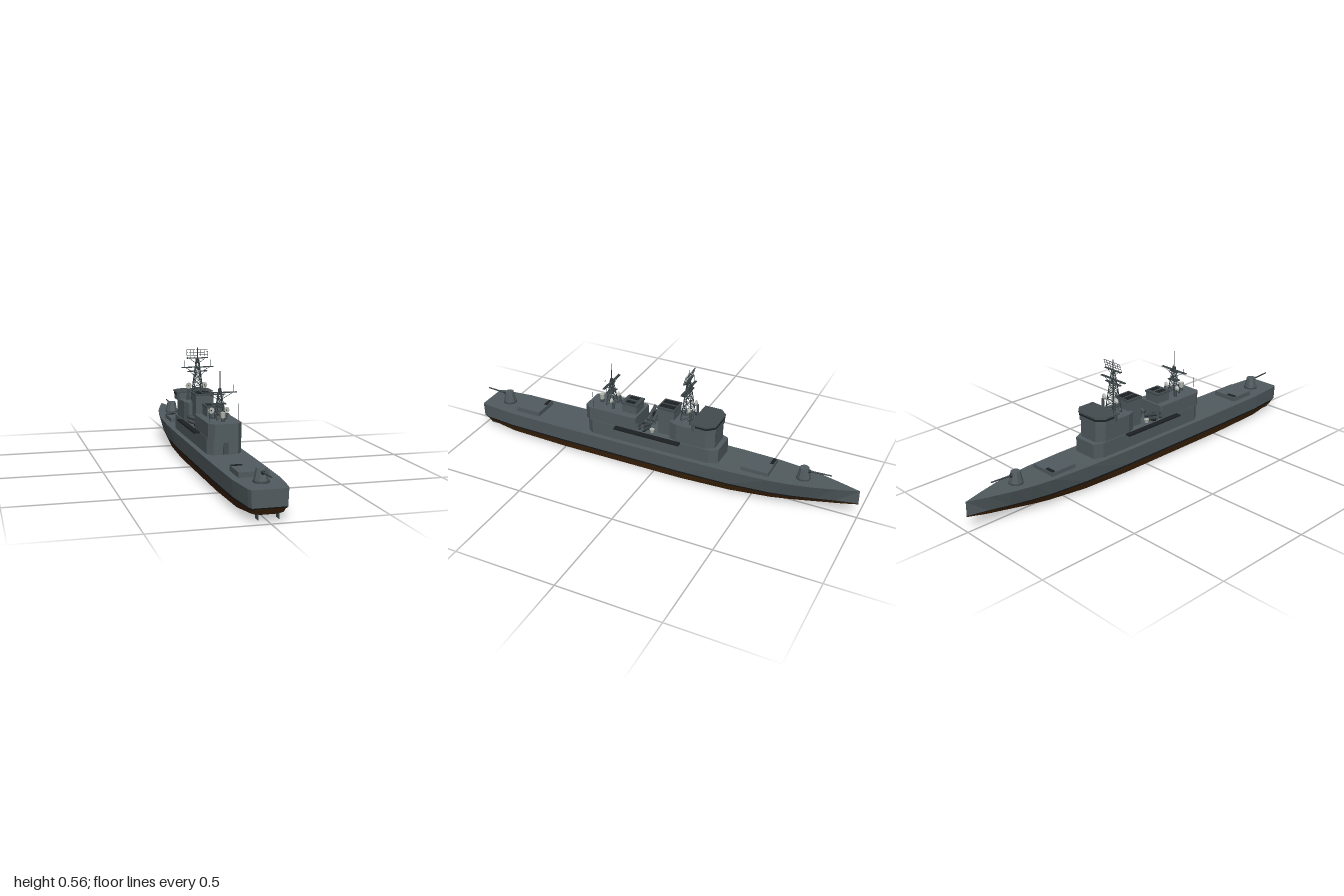
import * as THREE from 'three';

const M = (name, color) => Object.assign(new THREE.MeshStandardMaterial({ color }), { name });

export function createModel() {
  const ship = new THREE.Group();
  ship.name = 'warship';
  const grey = M('hull grey', 0x515b5f), dark = M('near black', 0x1d2123), brown = M('bottom brown', 0x422608);
  const mast = M('mast grey', 0x3a4346), pale = M('pale dish', 0xb4b8b0), trim = M('panel grey', 0x434c50);
  brown.side = THREE.DoubleSide;

  const add = (name, geo, mat, x = 0, y = 0, z = 0, parent = ship) => {
    const m = new THREE.Mesh(geo, mat);
    m.name = name;
    m.position.set(x, y, z);
    parent.add(m);
    return m;
  };
  // box given by its limits along each axis
  const box = (name, mat, x0, x1, y0, y1, z0, z1, parent) => add(name,
    new THREE.BoxGeometry(x1 - x0, y1 - y0, z1 - z0), mat, (x0 + x1) / 2, (y0 + y1) / 2, (z0 + z1) / 2, parent);
  // upright block from a half outline [x, z], mirrored across the centreline
  const prism = (name, mat, half, y0, y1) => {
    const pts = [...half, ...half.map(([x, z]) => [-x, z]).reverse()];
    const shape = new THREE.Shape(pts.map(([x, z]) => new THREE.Vector2(x, -z)));
    const g = new THREE.ExtrudeGeometry(shape, { depth: y1 - y0, bevelEnabled: false });
    return add(name, g.rotateX(-Math.PI / 2), mat, 0, y0, 0);
  };
  const strut = (name, mat, a, b, r, parent = ship, r2 = r, sides = 5) => {
    const p = new THREE.Vector3(...a), q = new THREE.Vector3(...b), d = q.clone().sub(p);
    const m = add(name, new THREE.CylinderGeometry(r2, r, d.length(), sides), mat, 0, 0, 0, parent);
    m.position.copy(p).add(q).multiplyScalar(0.5);
    m.quaternion.setFromUnitVectors(new THREE.Vector3(0, 1, 0), d.normalize());
    return m;
  };

  // Hull sections: z, then (half width, y) for deck, waterline, bilge and keel edge
  const sections = [
    [-1, 0.001, 0.147, 0.001, 0.08, 0.001, 0.076, 0.0005, 0.075],
    [-0.9, 0.032, 0.145, 0.016, 0.074, 0.008, 0.056, 0.003, 0.052],
    [-0.8, 0.06, 0.143, 0.036, 0.068, 0.02, 0.042, 0.007, 0.035],
    [-0.7, 0.08, 0.141, 0.056, 0.064, 0.036, 0.031, 0.013, 0.022],
    [-0.6, 0.093, 0.14, 0.073, 0.062, 0.052, 0.023, 0.02, 0.013],
    [-0.4, 0.103, 0.138, 0.093, 0.062, 0.073, 0.015, 0.033, 0.004],
    [-0.15, 0.105, 0.136, 0.1, 0.062, 0.083, 0.012, 0.04, 0],
    [0.5, 0.105, 0.135, 0.1, 0.062, 0.083, 0.012, 0.04, 0],
    [0.8, 0.101, 0.135, 0.096, 0.062, 0.079, 0.018, 0.04, 0.01],
    [0.96, 0.085, 0.135, 0.081, 0.062, 0.065, 0.034, 0.04, 0.028],
    [0.985, 0.077, 0.135, 0.074, 0.062, 0.056, 0.037, 0.035, 0.033],
  ];
  const rows = sections.map(([z, dx, dy, wx, wy, bx, by, kx, ky], i) => {
    const bootX = wx + (bx - wx) * 0.22, bootY = wy + (by - wy) * 0.22;
    return [[0, dy], [dx, dy], [wx, wy], [bootX, bootY], [bx, by], [kx, ky], [0, ky]]
      .map(([x, y]) => [x, y, i === sections.length - 1 && y < 0.06 ? z - 0.6 * (0.062 - y) : z]);
  });
  const flip = ([x, y, z]) => [-x, y, z];
  const strip = (name, mat, js) => {
    const v = [];
    const quad = (a, b, c, d) => v.push(...a, ...b, ...c, ...a, ...c, ...d);
    for (const j of js) {
      for (let i = 0; i < rows.length - 1; i++) {
        const a = rows[i][j], b = rows[i][j + 1], c = rows[i + 1][j + 1], d = rows[i + 1][j];
        quad(a, d, c, b);
        quad(flip(a), flip(b), flip(c), flip(d));
      }
      const p = rows[rows.length - 1][j], q = rows[rows.length - 1][j + 1];
      quad(flip(p), flip(q), q, p); // transom
    }
    const g = new THREE.BufferGeometry();
    g.setAttribute('position', new THREE.Float32BufferAttribute(v, 3));
    g.computeVertexNormals();
    add(name, g, mat);
  };
  strip('upperHull', grey, [0, 1]);
  strip('bootTopping', dark, [2]);
  strip('hullBottom', brown, [3, 4, 5]);
  for (const s of [-1, 1]) box('rudder', trim, s * 0.043 - 0.002, s * 0.043 + 0.002, 0.009, 0.04, 0.935, 0.968);

  // Deckhouses
  prism('lowerDeckhouse', grey, [[0.058, 0.362], [0.08, 0.33], [0.08, -0.29], [0.06, -0.333]], 0.13, 0.21);
  prism('aftDeckhouse', grey, [[0.055, 0.375], [0.077, 0.345], [0.077, 0.1], [0.07, 0.095]], 0.205, 0.277);
  box('aftDoor', trim, -0.012, 0.012, 0.137, 0.19, 0.36, 0.365);
  box('aftHouse', grey, -0.04, 0.04, 0.277, 0.32, 0.105, 0.185);
  box('aftHouseRoof', trim, -0.043, 0.043, 0.318, 0.327, 0.102, 0.188);
  prism('bridgeTower', grey, [[0.06, -0.08], [0.075, -0.12], [0.075, -0.27], [0.05, -0.31]], 0.21, 0.3);
  prism('bridge', grey, [[0.08, -0.2], [0.088, -0.22], [0.088, -0.28], [0.055, -0.315]], 0.295, 0.333);
  prism('bridgeRoof', trim, [[0.093, -0.197], [0.093, -0.283], [0.057, -0.319]], 0.332, 0.337);
  prism('bridgeWindows', dark, [[0.0885, -0.225], [0.0885, -0.2802], [0.0553, -0.3157]], 0.318, 0.327);
  box('funnel', grey, -0.043, 0.043, 0.21, 0.345, -0.095, -0.01);
  box('funnelCap', trim, -0.046, 0.046, 0.344, 0.353, -0.098, -0.007);
  for (const x of [-0.02, 0.02]) {
    box('funnelVent', dark, x - 0.014, x + 0.014, 0.352, 0.355, -0.09, -0.015);
    box('aftVent', dark, x - 0.012, x + 0.012, 0.326, 0.329, 0.12, 0.17);
  }
  for (const s of [-1, 1]) {
    const [a, b] = s > 0 ? [0.078, 0.105] : [-0.105, -0.078];
    box('sideWalkway', dark, a, b, 0.204, 0.211, -0.145, 0.2);
    // Angled launch tubes amidships
    for (const z of [0.045, 0.072]) for (const y of [0.242, 0.262]) {
      strut('launchTube', trim, [s * 0.015, y - 0.035, z], [s * 0.1, y, z], 0.009, ship, 0.009, 8);
    }
    strut('tubeCradle', dark, [s * 0.06, 0.21, 0.058], [s * 0.06, 0.25, 0.058], 0.012);
    add('decoyDrum', new THREE.CylinderGeometry(0.013, 0.009, 0.018, 8), pale, s * 0.055, 0.22, 0.015);
    strut('whipAerial', mast, [s * 0.066, 0.277, 0.33], [s * 0.066, 0.36, 0.33], 0.0009);
    strut('whipAerial', mast, [s * 0.075, 0.337, -0.22], [s * 0.075, 0.362, -0.22], 0.0009);
  }

  // Deck hatches
  for (const [z0, z1] of [[0.652, 0.785], [-0.585, -0.45]]) {
    box('hatch', grey, -0.068, 0.066, 0.13, 0.158, z0, z1);
    box('hatchVent', dark, -0.064, -0.016, 0.157, 0.161, z0 + 0.004, z0 + 0.02);
  }

  // Gun turrets, one at each end
  for (const [z, dir, y] of [[0.87, 1, 0.134], [-0.735, -1, 0.139]]) {
    const gun = new THREE.Group();
    gun.name = dir > 0 ? 'aftGun' : 'forwardGun';
    gun.position.set(0, y, z);
    if (dir < 0) gun.rotation.y = Math.PI;
    ship.add(gun);
    add('gunRing', new THREE.CylinderGeometry(0.034, 0.034, 0.01, 16), trim, 0, 0.005, 0, gun);
    add('gunHouse', new THREE.CylinderGeometry(0.022, 0.033, 0.052, 8).rotateY(Math.PI / 8).toNonIndexed(),
      grey, 0, 0.034, 0, gun).geometry.computeVertexNormals();
    add('gunMantlet', new THREE.SphereGeometry(0.009, 10, 8), dark, 0, 0.045, 0.023, gun);
    strut('gunBarrel', mast, [0, 0.045, 0.02], [0, 0.051, 0.13], 0.0045, gun, 0.003, 8);
  }

  // Lattice masts
  const lattice = (name, z, y0, y1, w0, w1, tip, levels) => {
    const g = new THREE.Group();
    g.name = name;
    g.position.z = z;
    ship.add(g);
    const corner = (k, t) => {
      const w = w0 + (w1 - w0) * t;
      return [[1, 1], [1, -1], [-1, -1], [-1, 1]][k % 4].map((s) => s * w).toSpliced(1, 0, y0 + (y1 - y0) * t);
    };
    for (let k = 0; k < 4; k++) {
      strut('mastLeg', mast, corner(k, 0), corner(k, 1), 0.0022, g);
      for (let i = 0; i < levels; i++) {
        const a = i / levels, b = (i + 1) / levels;
        strut('mastBrace', mast, corner(k, a), corner(k + 1, b), 0.0012, g);
        strut('mastBrace', mast, corner(k + 1, a), corner(k, b), 0.0012, g);
        strut('mastRung', mast, corner(k, b), corner(k + 1, b), 0.0012, g);
      }
    }
    strut('mastPole', mast, [0, y1 - 0.02, 0], [0, tip, 0], 0.002, g);
    return g;
  };
  const yard = (g, y, w, whip) => {
    box('yard', mast, -w, w, y - 0.002, y + 0.002, -0.006, 0.006, g);
    for (const s of [-1, 1]) {
      strut('yardStay', mast, [0, y - 0.035, 0], [s * w * 0.8, y, 0], 0.0012, g);
      if (whip) strut('yardWhip', mast, [s * 0.066, y, 0], [s * 0.066, y + whip, 0], 0.0009, g);
    }
  };
  const main = lattice('mainMast', -0.15, 0.298, 0.51, 0.028, 0.005, 0.562, 6);
  yard(main, 0.466, 0.08, 0.034);
  yard(main, 0.446, 0.05, 0);
  box('radarPlatform', mast, -0.053, 0.053, 0.509, 0.513, -0.005, 0.005, main);
  for (const s of [-1, 1]) strut('radarStay', mast, [0, 0.48, 0], [s * 0.04, 0.51, 0], 0.0012, main);
  // Search radar grid
  for (let i = 0; i <= 6; i++) {
    const x = -0.053 + i * 0.106 / 6;
    strut('radarUpright', mast, [x, 0.512, 0.004], [x, 0.552, -0.008], 0.0011, main);
  }
  for (let i = 0; i < 4; i++) {
    const y = 0.512 + i * 0.04 / 3, z = 0.004 - i * 0.004;
    strut('radarBar', mast, [-0.053, y, z], [0.053, y, z], 0.0012, main);
  }
  const aft = lattice('aftMast', 0.26, 0.275, 0.42, 0.022, 0.004, 0.5, 4);
  yard(aft, 0.401, 0.08, 0.034);
  box('aftMastPlatform', mast, -0.028, 0.028, 0.348, 0.352, -0.016, 0.016, aft);
  yard(aft, 0.393, 0.026, 0);

  // Tracking dishes on pedestals, mirrored
  const dish = (x, y, z, base, r, turn) => {
    strut('dishPedestal', trim, [x, base, z], [x, y - r * 0.4, z], 0.008, ship, 0.006, 8);
    const d = add('trackingDish', new THREE.CylinderGeometry(r, r * 0.45, r * 0.6, 8).rotateX(Math.PI / 2), pale, x, y, z + 0.006 * turn);
    if (turn < 0) d.rotation.y = Math.PI;
    add('dishFeed', new THREE.SphereGeometry(0.003, 6, 4), dark, x, y, z + turn * (0.006 + r * 0.35));
  };
  for (const s of [-1, 1]) {
    dish(s * 0.04, 0.372, -0.18, 0.298, 0.016, 1);
    dish(s * 0.036, 0.317, 0.235, 0.277, 0.015, 1);
  }
  strut('aftPedestal', trim, [0, 0.277, 0.315], [0, 0.298, 0.315], 0.01, ship, 0.008, 8);
  add('aftDirector', new THREE.CylinderGeometry(0.013, 0.011, 0.026, 8), pale, 0, 0.307, 0.315);
  return ship;
}
